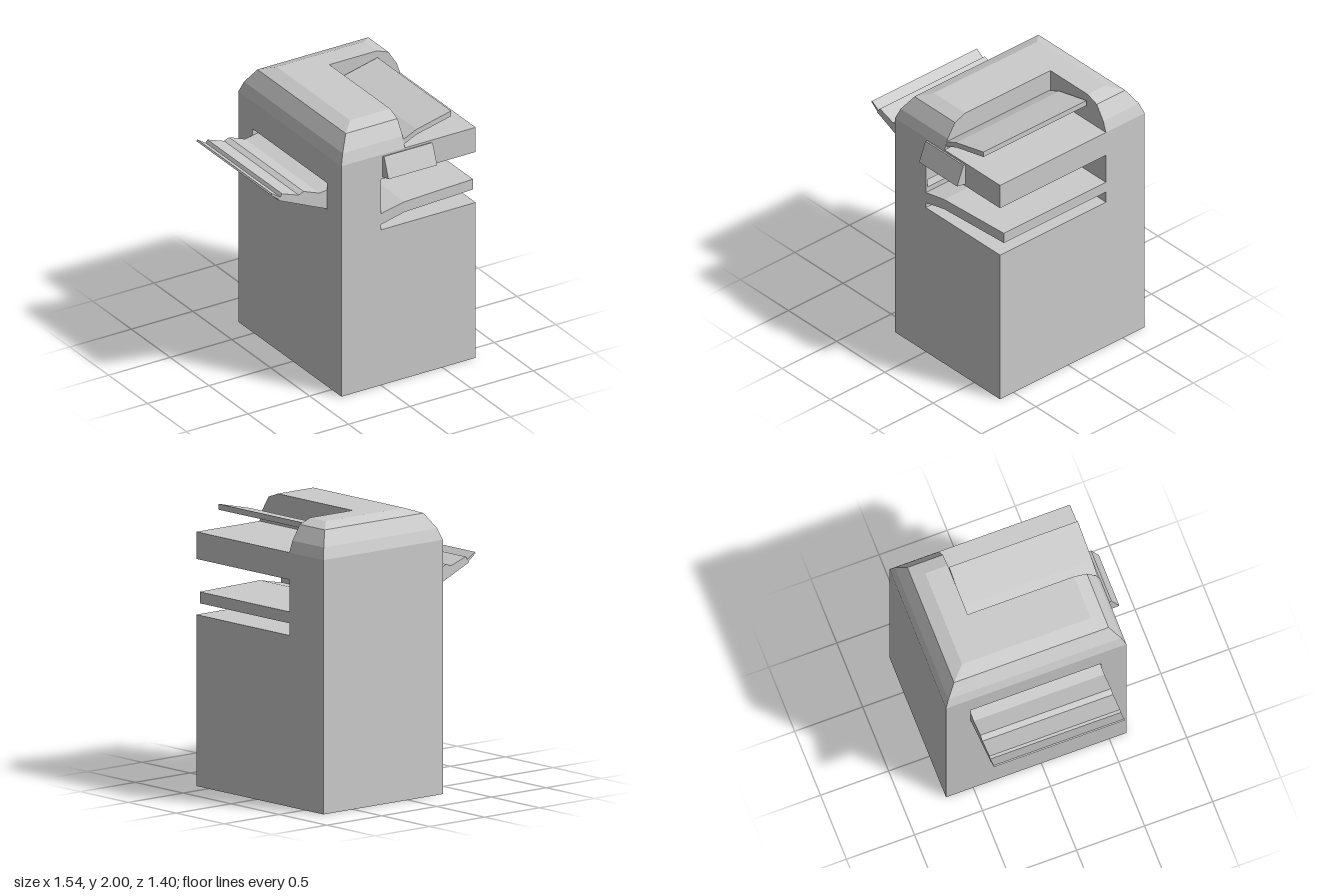
import * as THREE from 'three';

const material = new THREE.MeshStandardMaterial({ color: 0xcccccc, flatShading: true });

// Cabinet limits and the back wall of the cut-outs
const L = -0.32, R = 0.77, B = -0.70, F = 0.625, CUT = -0.345;

function addMesh(group, name, geometry) {
  const mesh = new THREE.Mesh(geometry, material);
  mesh.name = name;
  group.add(mesh);
  return mesh;
}

// Closed solid through plan outlines [[x, z], ...] (clockwise from above) at heights ys
function loft(rings, ys) {
  const pos = [];
  const n = rings[0].length;
  const put = (k, i) => pos.push(rings[k][i % n][0], ys[k], rings[k][i % n][1]);
  for (let k = 0; k < rings.length - 1; k++) {
    for (let i = 0; i < n; i++) {
      put(k, i); put(k + 1, i); put(k, i + 1);
      put(k, i + 1); put(k + 1, i); put(k + 1, i + 1);
    }
  }
  for (const [k, up] of [[0, false], [rings.length - 1, true]]) {
    const pts = rings[k].map(([x, z]) => new THREE.Vector2(x, z));
    for (const [a, b, c] of THREE.ShapeUtils.triangulateShape(pts, [])) {
      const ab = pts[b].clone().sub(pts[a]), ac = pts[c].clone().sub(pts[a]);
      const facesUp = ab.y * ac.x - ab.x * ac.y > 0;
      for (const i of facesUp === up ? [a, b, c] : [a, c, b]) put(k, i);
    }
  }
  const geometry = new THREE.BufferGeometry();
  geometry.setAttribute('position', new THREE.Float32BufferAttribute(pos, 3));
  geometry.computeVertexNormals();
  return geometry;
}

// Rectangular plan with the front right corner cut away, and optional slots in its walls
function notchedPlan(cutX, { inset = 0, leftSlot = 0, rightSlot = 0 } = {}) {
  const d = inset;
  const plan = [[L + d, F - d]];
  if (leftSlot) plan.push([L, 0.44], [L + leftSlot, 0.44], [L + leftSlot, -0.52], [L, -0.52]);
  plan.push([L + d, B + d], [R - d, B + d], [R - d, CUT], [cutX, CUT]);
  if (rightSlot) {
    plan.push([cutX, -0.32], [cutX - rightSlot, -0.32], [cutX - rightSlot, 0.61], [cutX, 0.61]);
  }
  plan.push([cutX, F - d]);
  return plan;
}

// Front-view profile extruded between two depths
function prism(points, z0, z1) {
  const shape = new THREE.Shape(points.map(([x, y]) => new THREE.Vector2(x, y)));
  return new THREE.ExtrudeGeometry(shape, { depth: z1 - z0, bevelEnabled: false }).translate(0, 0, z0);
}

export function createModel() {
  const model = new THREE.Group();
  model.name = 'officeCopier';

  // Cabinet blocks below and above the output bay
  const full = [[L, F], [L, B], [R, B], [R, F]];
  addMesh(model, 'lowerCabinet', loft([full, full], [0, 1.2]));
  addMesh(model, 'scannerDeck', loft([full, full], [1.59, 1.78]));

  // Output bay walls, with paper slots on both sides
  const bay = new THREE.Group();
  bay.name = 'outputBay';
  model.add(bay);
  const levels = [
    [1.2, 1.365, {}],
    [1.365, 1.425, { leftSlot: 0.08, rightSlot: 0.08 }],
    [1.425, 1.57, { leftSlot: 0.08 }],
    [1.57, 1.59, {}],
  ];
  for (const [y0, y1, slots] of levels) {
    const plan = notchedPlan(0, slots);
    addMesh(bay, 'bayWall', loft([plan, plan], [y0, y1]));
  }

  // Bevelled lid with its open corner
  const bevel = [[0, 1.78], [0.028, 1.86], [0.095, 1.965], [0.19, 2.0]];
  addMesh(model, 'lid', loft(
    bevel.map(([inset]) => notchedPlan(0.195, { inset })),
    bevel.map(([, y]) => y),
  ));

  // Output shelf, its front edge tapering back towards the right end
  const shelf = prism([
    [0, 1.24], [0.19, 1.285], [R, 1.285], [R, 1.365], [0.19, 1.365], [0, 1.325],
  ], CUT, F);
  const p = shelf.attributes.position;
  for (let i = 0; i < p.count; i++) {
    if (p.getZ(i) > 0) p.setZ(i, F - 0.035 * Math.max(0, (p.getX(i) - 0.19) / (R - 0.19)));
  }
  shelf.computeVertexNormals();
  addMesh(model, 'outputShelf', shelf);

  // Document feeder tray in the lid corner
  addMesh(model, 'feederTray', prism([
    [0.195, 1.80], [0.30, 1.848], [0.58, 1.912], [0.58, 1.953], [0.30, 1.888], [0.195, 1.84],
  ], -0.335, 0.61));

  // Side paper tray with stepped top and thin end flap
  addMesh(model, 'sideTray', prism([
    [-0.25, 1.37], [-0.32, 1.37], [-0.715, 1.543], [-0.685, 1.587], [-0.55, 1.54],
    [-0.51, 1.557], [-0.38, 1.508], [-0.32, 1.518], [-0.25, 1.53],
  ], -0.52, 0.44));
  addMesh(model, 'trayFlap', prism([
    [-0.708, 1.547], [-0.775, 1.6], [-0.767, 1.61], [-0.698, 1.565],
  ], -0.52, 0.44));

  // Tilted control panel, profile drawn in depth and height
  const panel = prism([
    [0.60, 1.605], [F, 1.605], [0.70, 1.62], [0.642, 1.77], [F, 1.764], [0.60, 1.764],
  ], 0, 0.395);
  panel.rotateY(-Math.PI / 2).translate(0.41, 0, 0);
  addMesh(model, 'controlPanel', panel);

  return model;
}
